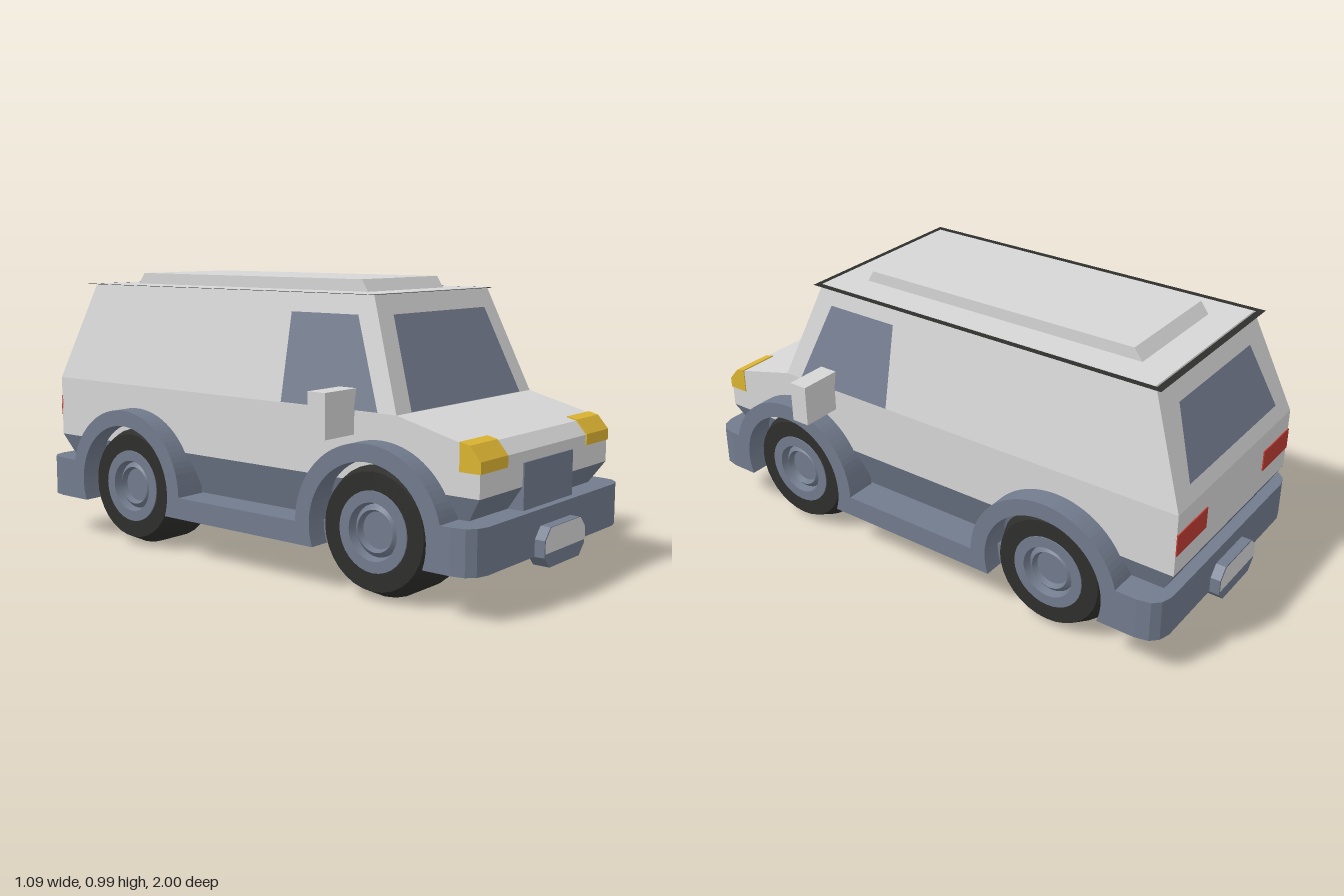
import * as THREE from 'three';
import { toCreasedNormals } from 'three/addons/utils/BufferGeometryUtils.js';

const mat = (name, color) => Object.assign(new THREE.MeshStandardMaterial({ color }), { name });

export function createModel() {
  const paint = mat('paint', 0xd6d6d6);
  const trim = mat('trim', 0x727c8e);
  const glass = mat('glass', 0x788093);
  const rubber = mat('rubber', 0x2e2e2c);
  const amber = mat('amber', 0xdcb432);
  const red = mat('red', 0xbf3d33);
  glass.side = rubber.side = THREE.DoubleSide;

  const van = new THREE.Group();
  van.name = 'van';
  const add = (name, geo, material, parent = van) => {
    const m = new THREE.Mesh(geo, material);
    m.name = name;
    parent.add(m);
    return m;
  };
  const poly = pts => new THREE.Shape(pts.map(p => new THREE.Vector2(...p)));

  // Side profile (z, y) extruded across x from x0 to x1
  const prism = (shape, x0, x1) => {
    const g = new THREE.ExtrudeGeometry(shape, { depth: x1 - x0, bevelEnabled: false, curveSegments: 20 });
    return g.rotateY(-Math.PI / 2).translate(x1, 0, 0);
  };
  // Symmetric profile whose half width changes linearly from (y0, w0) to (y1, w1)
  const tapered = (pts, y0, w0, y1, w1) => {
    const g = prism(poly(pts), -1, 1), p = g.attributes.position;
    for (let i = 0; i < p.count; i++) {
      p.setX(i, p.getX(i) * (w0 + (w1 - w0) * (p.getY(i) - y0) / (y1 - y0)));
    }
    g.computeVertexNormals();
    return g;
  };
  const box = (x0, x1, y0, y1, z0, z1) =>
    new THREE.BoxGeometry(x1 - x0, y1 - y0, z1 - z0).translate((x0 + x1) / 2, (y0 + y1) / 2, (z0 + z1) / 2);
  const quad = (a, b, c, d) => {
    const g = new THREE.BufferGeometry();
    g.setAttribute('position', new THREE.Float32BufferAttribute([...a, ...b, ...c, ...d], 3));
    g.setIndex([0, 1, 2, 0, 2, 3]);
    g.computeVertexNormals();
    return g;
  };

  // Body shell
  add('lowerBody', prism(poly([[-0.96, 0.365], [0.93, 0.365], [0.93, 0.475], [0.893, 0.518],
    [0.63, 0.585], [-0.96, 0.585]]), -0.4, 0.4), paint);
  add('cabin', tapered([[-0.96, 0.585], [0.63, 0.585], [0.49, 0.945], [-0.82, 0.945]],
    0.585, 0.4, 0.945, 0.33), paint);
  add('skirt', tapered([[-0.88, 0.215], [0.83, 0.215], [0.93, 0.365], [-0.96, 0.365]],
    0.215, 0.35, 0.365, 0.4), trim);
  add('roofPanel', prism(poly([[-0.71, 0.945], [0.38, 0.945], [0.355, 0.985], [-0.68, 0.985]]),
    -0.217, 0.217), paint);

  // Thin dark gutter around the roof
  const rect = (w, a, b) => [[-w, a], [w, a], [w, b], [-w, b]];
  const gutter = poly(rect(0.355, -0.85, 0.51));
  gutter.holes.push(poly(rect(0.332, -0.825, 0.49)));
  add('roofGutter', new THREE.ShapeGeometry(gutter).rotateX(Math.PI / 2).translate(0, 0.944, 0), rubber);

  // Windows, laid just above the sloping panels
  const front = (x, y) => [x, y, 0.634 - (y - 0.585) * 0.14 / 0.36];
  const rear = (x, y) => [x, y, -0.964 + (y - 0.585) * 0.14 / 0.36];
  add('windscreen', quad(front(-0.325, 0.587), front(0.325, 0.587), front(0.267, 0.88), front(-0.267, 0.88)), glass);
  add('rearWindow', quad(rear(0.305, 0.64), rear(-0.305, 0.64), rear(-0.242, 0.865), rear(0.242, 0.865)), glass);

  // Floor and bumpers with rounded corners
  add('floor', box(-0.4, 0.4, 0.145, 0.22, -0.85, 0.85), trim);
  const bumperPlan = poly([[-0.475, 0.8], [0.475, 0.8], [0.475, 0.88], [0.465, 0.925], [0.44, 0.95],
    [0.4, 0.962], [-0.4, 0.962], [-0.44, 0.95], [-0.465, 0.925], [-0.475, 0.88]]);
  for (const end of [1, -1]) {
    const g = new THREE.Group();
    g.name = end > 0 ? 'frontBumper' : 'rearBumper';
    g.rotation.y = end > 0 ? 0 : Math.PI;
    van.add(g);
    add('bumper', new THREE.ExtrudeGeometry(bumperPlan, { depth: 0.145, bevelEnabled: false })
      .rotateX(Math.PI / 2).translate(0, 0.29, 0), trim, g);
    add('plateHolder', new THREE.ExtrudeGeometry(poly([[-0.095, 0.11], [0.095, 0.11], [0.128, 0.145],
      [0.128, 0.2], [0.095, 0.237], [-0.095, 0.237], [-0.128, 0.2], [-0.128, 0.145]]),
    { depth: 0.057, bevelEnabled: false }).translate(0, 0, 0.94), trim, g);
    add('plate', new THREE.ShapeGeometry(poly([[-0.128, 0.158], [0.128, 0.158], [0.128, 0.2],
      [0.095, 0.237], [-0.095, 0.237], [-0.128, 0.2]])).translate(0, 0, 1), paint, g);
  }
  add('grille', box(-0.155, 0.155, 0.285, 0.44, 0.84, 0.935), trim);

  // Side panel with sill and wheel arches, as a (z, y) outline
  const axles = [0.57, -0.53], axleY = 0.22, R = 0.282, r = 0.225;
  const low = Math.asin(0.075 / r), high = Math.asin(0.07 / R);
  const side = new THREE.Shape();
  side.moveTo(0.86, 0.145);
  for (const z of axles) {
    side.lineTo(z + r * Math.cos(low), 0.145);
    side.absarc(z, axleY, r, -low, Math.PI + low, false);
  }
  side.lineTo(-0.86, 0.145);
  side.lineTo(-0.86, 0.29);
  side.absarc(axles[1], axleY, R, Math.PI - high, 0, true);
  side.absarc(axles[0], axleY, R, Math.PI, high, true);
  side.lineTo(0.86, 0.29);

  // Wheel profiles (radius, distance along axle)
  const lathe = pts => toCreasedNormals(
    new THREE.LatheGeometry(pts.map(p => new THREE.Vector2(...p)), 32).rotateZ(-Math.PI / 2), 0.4);
  const tyreGeo = lathe([[0, 0.18], [0.19, 0.18], [0.22, 0.245], [0.22, 0.37], [0.19, 0.435], [0.125, 0.435]]);
  const rimGeo = lathe([[0.132, 0.43], [0.13, 0.438], [0.093, 0.438], [0.085, 0.41], [0.068, 0.425],
    [0.06, 0.405], [0, 0.405]]);

  for (const s of [1, -1]) {
    const label = s > 0 ? 'left' : 'right';
    const span = (a, b) => (s > 0 ? [a, b] : [-b, -a]);
    add(label + 'SidePanel', prism(side, ...span(0.36, 0.475)), trim);
    add(label + 'Headlight', prism(poly([[0.86, 0.44], [0.934, 0.44], [0.934, 0.477], [0.895, 0.522],
      [0.86, 0.53]]), ...span(0.25, 0.403)), amber);
    add(label + 'TailLight', box(...span(0.205, 0.4), 0.44, 0.515, -0.964, -0.956), red);
    add(label + 'Mirror', box(...span(0.385, 0.545), 0.51, 0.655, 0.4, 0.468), paint);
    add(label + 'MudFlap', box(...span(0.1, 0.235), 0.141, 0.147, 0.28, 0.38), rubber);
    const pane = (z, y) => [s * (0.403 - (y - 0.585) * 0.07 / 0.36), y, z];
    const corners = [pane(0.56, 0.587), pane(0.165, 0.587), pane(0.165, 0.88), pane(0.44, 0.88)];
    add(label + 'DoorWindow', quad(...(s > 0 ? corners : corners.reverse())), glass);

    for (const z of axles) {
      const wheel = new THREE.Group();
      wheel.name = label + (z > 0 ? 'FrontWheel' : 'RearWheel');
      wheel.position.set(0, axleY, z);
      wheel.rotation.y = s > 0 ? 0 : Math.PI;
      van.add(wheel);
      add('tyre', tyreGeo, rubber, wheel);
      add('rim', rimGeo, trim, wheel);
    }
  }
  return van;
}
